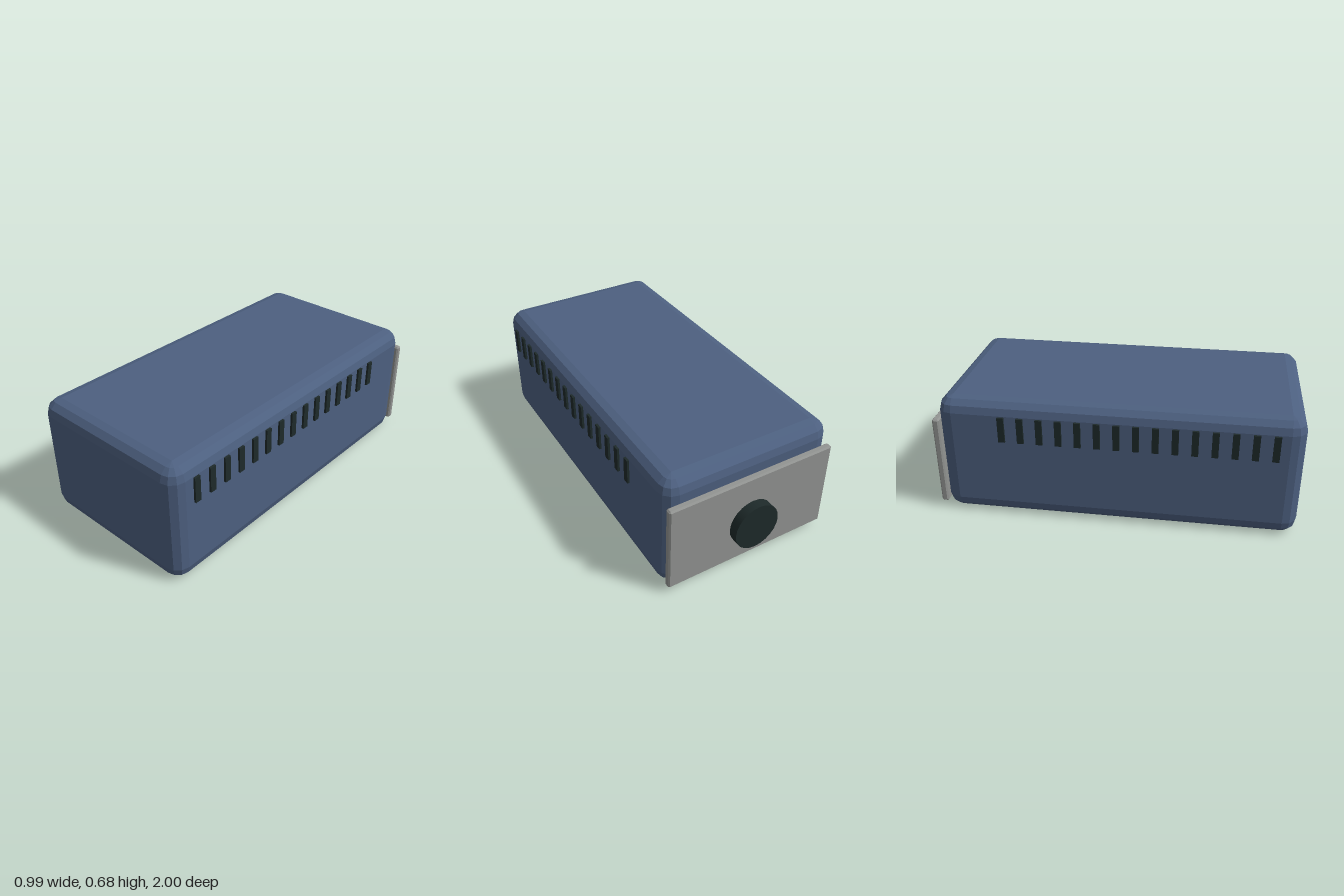
import * as THREE from 'three';
import { ConvexGeometry } from 'three/addons/geometries/ConvexGeometry.js';

const material = (name, color) => {
  const m = new THREE.MeshStandardMaterial({ color });
  m.name = name;
  return m;
};

// Faceted box whose edges are rounded in equal angular steps
function facetedBox(w, h, d, r, steps) {
  const points = [];
  for (const sx of [-1, 1]) for (const sy of [-1, 1]) for (const sz of [-1, 1]) {
    for (let i = 0; i <= steps; i++) {
      const lat = (i / steps) * Math.PI / 2;
      const count = i === steps ? 0 : steps;
      for (let j = 0; j <= count; j++) {
        const lon = (j / steps) * Math.PI / 2;
        points.push(new THREE.Vector3(
          sx * (w / 2 - r + r * Math.cos(lat) * Math.cos(lon)),
          sy * (h / 2 - r + r * Math.sin(lat)),
          sz * (d / 2 - r + r * Math.cos(lat) * Math.sin(lon))));
      }
    }
  }
  return new ConvexGeometry(points);
}

export function createModel() {
  const group = new THREE.Group();
  const blue = material('slate blue', 0x4d6080);
  const grey = material('plate grey', 0x929492);
  const dark = material('dark green black', 0x1e2a2a);

  const add = (name, geometry, mat, x, y, z) => {
    const mesh = new THREE.Mesh(geometry, mat);
    mesh.name = name;
    mesh.position.set(x, y, z);
    group.add(mesh);
    return mesh;
  };

  // Main housing
  add('housing', facetedBox(0.966, 0.68, 1.916, 0.08, 3), blue, 0, 0.34, 0.042);

  // Back plate and its round knob
  add('backPlate', facetedBox(0.95, 0.51, 0.038, 0.008, 1), grey, 0, 0.295, -0.93);
  const knob = add('backKnob', new THREE.CylinderGeometry(0.13, 0.13, 0.06, 24), dark, 0, 0.267, -0.97);
  knob.rotation.x = Math.PI / 2;
  knob.scale.set(0.98, 1, 1.03);

  // Row of vent slots along both sides
  const slot = new THREE.BoxGeometry(0.03, 0.142, 0.035);
  for (const side of [-1, 1]) {
    for (let i = 0; i < 15; i++) {
      add(side > 0 ? 'leftVent' : 'rightVent', slot, dark, side * 0.48, 0.525, 0.852 - i * 0.1013);
    }
  }
  return group;
}
